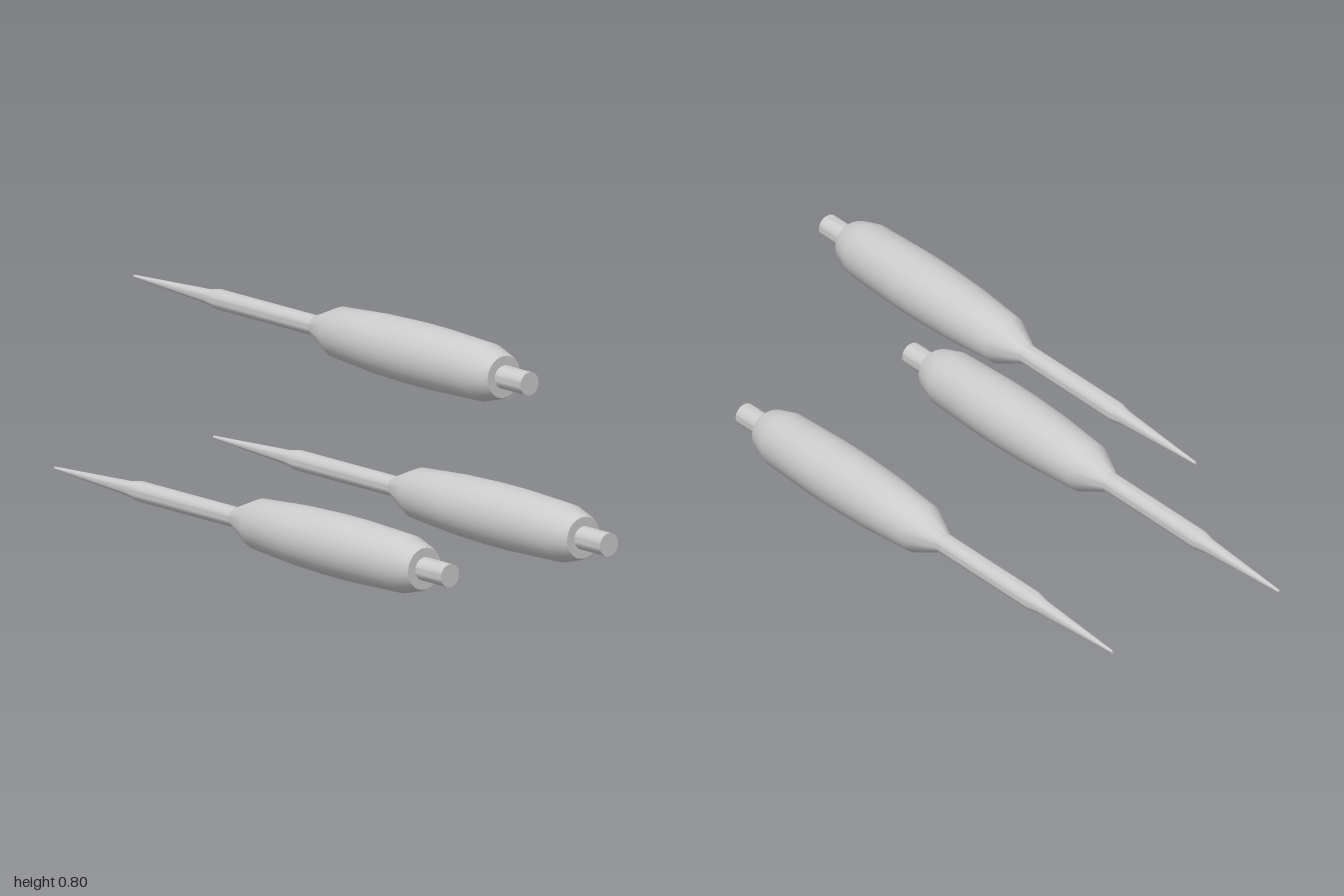
import * as THREE from 'three';
import { toCreasedNormals } from 'three/addons/utils/BufferGeometryUtils.js';

const material = new THREE.MeshStandardMaterial({ color: 0xcccccc });

// Turned part along z; profile is [radius, z] from back to front
function turned(name, profile) {
  const points = profile.map(([r, z]) => new THREE.Vector2(r, z));
  const geometry = new THREE.LatheGeometry(points, 32).rotateX(Math.PI / 2);
  const mesh = new THREE.Mesh(toCreasedNormals(geometry, 0.5), material);
  mesh.name = name;
  return mesh;
}

function createDart() {
  const dart = new THREE.Group();
  dart.name = 'dart';
  dart.add(
    // Long needle: fine tip, stepped taper, straight shank
    turned('point', [[0, -1], [0.005, -1], [0.025, -0.62], [0.034, -0.57], [0.034, -0.07]]),
    // Swollen grip with a chamfered front end
    turned('barrel', [[0.034, -0.08], [0.085, 0.04], [0.1, 0.25], [0.105, 0.42], [0.105, 0.54],
      [0.097, 0.785], [0.078, 0.855], [0.07, 0.87], [0, 0.87]]),
    // Short stub at the front
    turned('stub', [[0.039, 0.86], [0.039, 1], [0, 1]])
  );
  return dart;
}

export function createModel() {
  const model = new THREE.Group();
  model.name = 'dartSet';
  for (const [x, y] of [[-0.34, 0.107], [0.34, 0.107], [0, 0.699]]) {
    const dart = createDart();
    dart.position.set(x, y, 0);
    model.add(dart);
  }
  return model;
}
